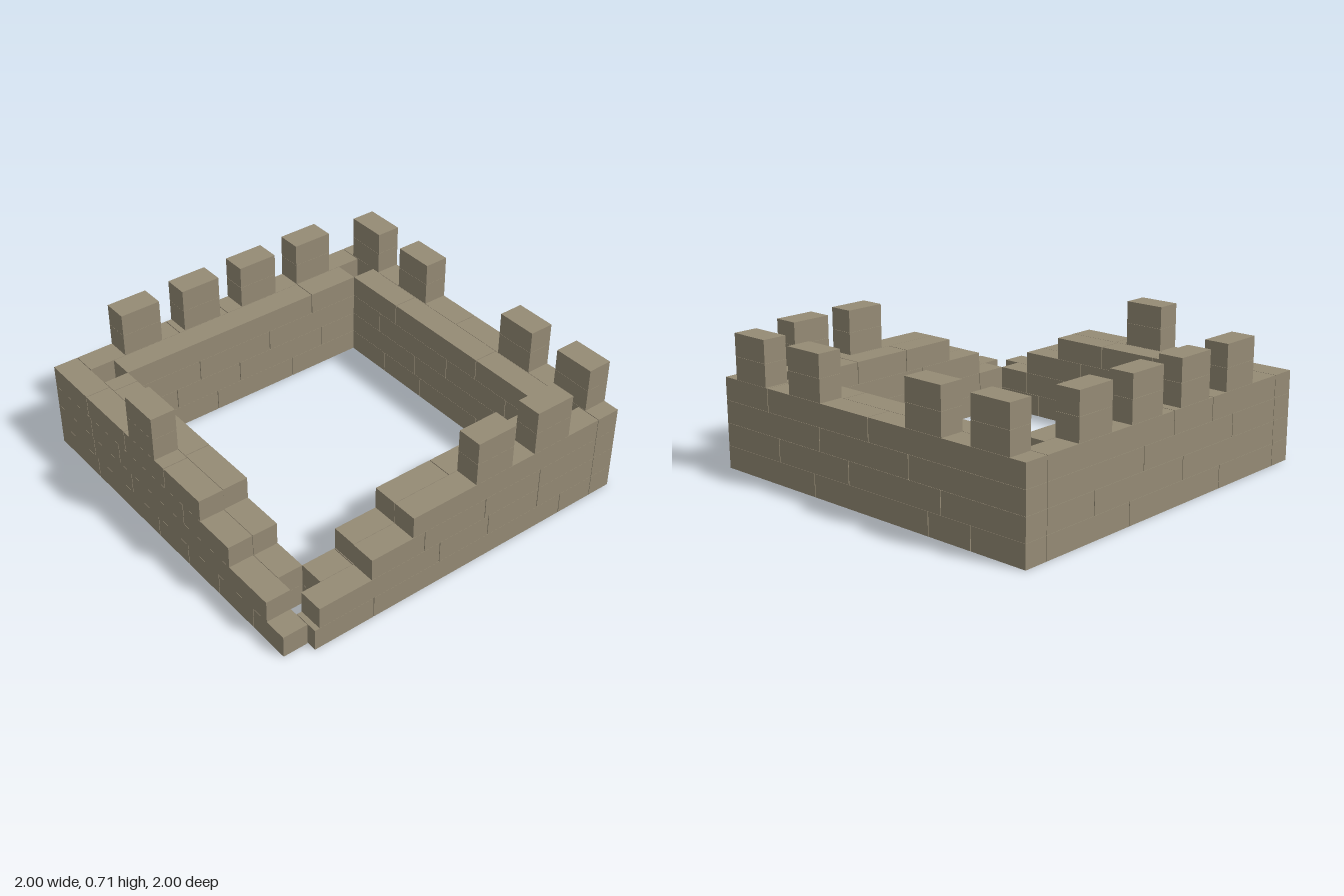
import * as THREE from 'three';

const PITCH = 0.1193;  // height of one course
const SEAM = 0.001;    // thin gap between stacked courses
const JOINT = 0.004;   // gap between neighbouring bricks
const OUTER = [0.867, 1], INNER = [0.73, 0.865];

export function createModel() {
  const model = new THREE.Group();
  model.name = 'ruinedBattlement';
  const stone = new THREE.MeshStandardMaterial({ color: 0x958b75, side: THREE.DoubleSide });
  stone.name = 'stone';

  // Hollow block, open underneath
  function openBox(w, h, d) {
    const geometry = new THREE.BoxGeometry(w, h, d);
    const index = Array.from(geometry.index.array);
    index.splice(18, 6); // the bottom face
    geometry.setIndex(index);
    geometry.clearGroups();
    return geometry;
  }

  // One brick running along x or z from a to b, inside a depth band on the given side
  function brick(parent, name, axis, side, band, a, b, level) {
    const length = b - a, depth = band[1] - band[0];
    const height = PITCH - SEAM;
    const along = (a + b) / 2, across = side * (band[0] + band[1]) / 2;
    const y = level * PITCH + height / 2;
    const mesh = new THREE.Mesh(
      axis === 'x' ? openBox(length, height, depth) : openBox(depth, height, length), stone);
    if (axis === 'x') mesh.position.set(along, y, across);
    else mesh.position.set(across, y, along);
    mesh.name = name;
    parent.add(mesh);
  }

  // Each course lists its start, its joints and its end
  function layer(parent, name, axis, side, band, courses) {
    courses.forEach((stops, level) => {
      for (let i = 0; i < stops.length - 1; i++) {
        const a = stops[i] + (i > 0 ? JOINT / 2 : 0);
        const b = stops[i + 1] - (i < stops.length - 2 ? JOINT / 2 : 0);
        brick(parent, name, axis, side, band, a, b, level);
      }
    });
  }

  const E = 0.864, I = 0.73;
  const walls = [
    { // broken off in steps towards +x
      name: 'frontWall', axis: 'x', side: 1, merlons: [-0.17],
      outer: [
        [-1, -0.628, -0.065, 0.192, 0.447, 0.72, 0.948],
        [-1, -0.653, -0.295, 0.825],
        [-1, -0.66, -0.397, 0.17, 0.54],
        [-1, -0.68, -0.33, 0.02, 0.315]],
      inner: [
        [-I, -0.35, 0.1, 0.45, I],
        [-I, -0.5, -0.1, 0.25, 0.54, I],
        [-I, -0.45, 0.15, 0.54],
        [-I, -0.64, -0.338, 0.002, 0.312]],
    },
    { // broken off in steps towards +z
      name: 'leftWall', axis: 'z', side: 1, merlons: [-0.55, -0.182],
      outer: [
        [-E, -0.65, 0.527, E],
        [-E, -0.49, -0.167, 0.137, 0.838],
        [-E, -0.49, -0.14, 0.233, 0.543],
        [-E, 0.305]],
      inner: [
        [-I, -0.5, 0, 0.546, I],
        [-I, -0.2, 0.2, 0.546, I],
        [-I, -0.55, 0.1, 0.541],
        [-I, -0.365, -0.02, 0.305]],
    },
    {
      name: 'backWall', axis: 'x', side: -1, merlons: [-0.798, -0.398, 0.398, 0.798],
      outer: [
        [-1, -0.68, -0.42, 0.345, 1],
        [-1, -0.5, 0.1, 0.6, 1],
        [-1, -0.3, 0.3, 1],
        [-1, -0.04, 0.675, 1]],
      inner: [
        [-I, -0.45, -0.15, 0.3, I],
        [-I, -0.2, 0.45, I],
        [-I, -0.5, 0.05, 0.5, I],
        [-I, -0.368, 0.27, I]],
    },
    {
      name: 'rightWall', axis: 'z', side: -1, merlons: [-0.548, -0.182, 0.182, 0.548],
      outer: [
        [-E, -0.3, 0.4, E],
        [-E, -0.55, 0.1, E],
        [-E, -0.2, 0.5, E],
        [-E, 0.023, 0.328, E]],
      inner: [
        [-I, -0.3, 0.2, I],
        [-I, -0.5, 0.05, 0.45, I],
        [-I, -0.15, 0.3, I],
        [-I, -0.437, I]],
    },
  ];

  for (const w of walls) {
    const group = new THREE.Group();
    group.name = w.name;
    layer(group, 'outerBrick', w.axis, w.side, OUTER, w.outer);
    layer(group, 'innerBrick', w.axis, w.side, INNER, w.inner);
    // Merlons are two stacked blocks standing on the outer layer
    for (const c of w.merlons) {
      for (const level of [4, 5]) brick(group, 'merlonBlock', w.axis, w.side, OUTER, c - 0.112, c + 0.112, level);
    }
    model.add(group);
  }
  return model;
}
